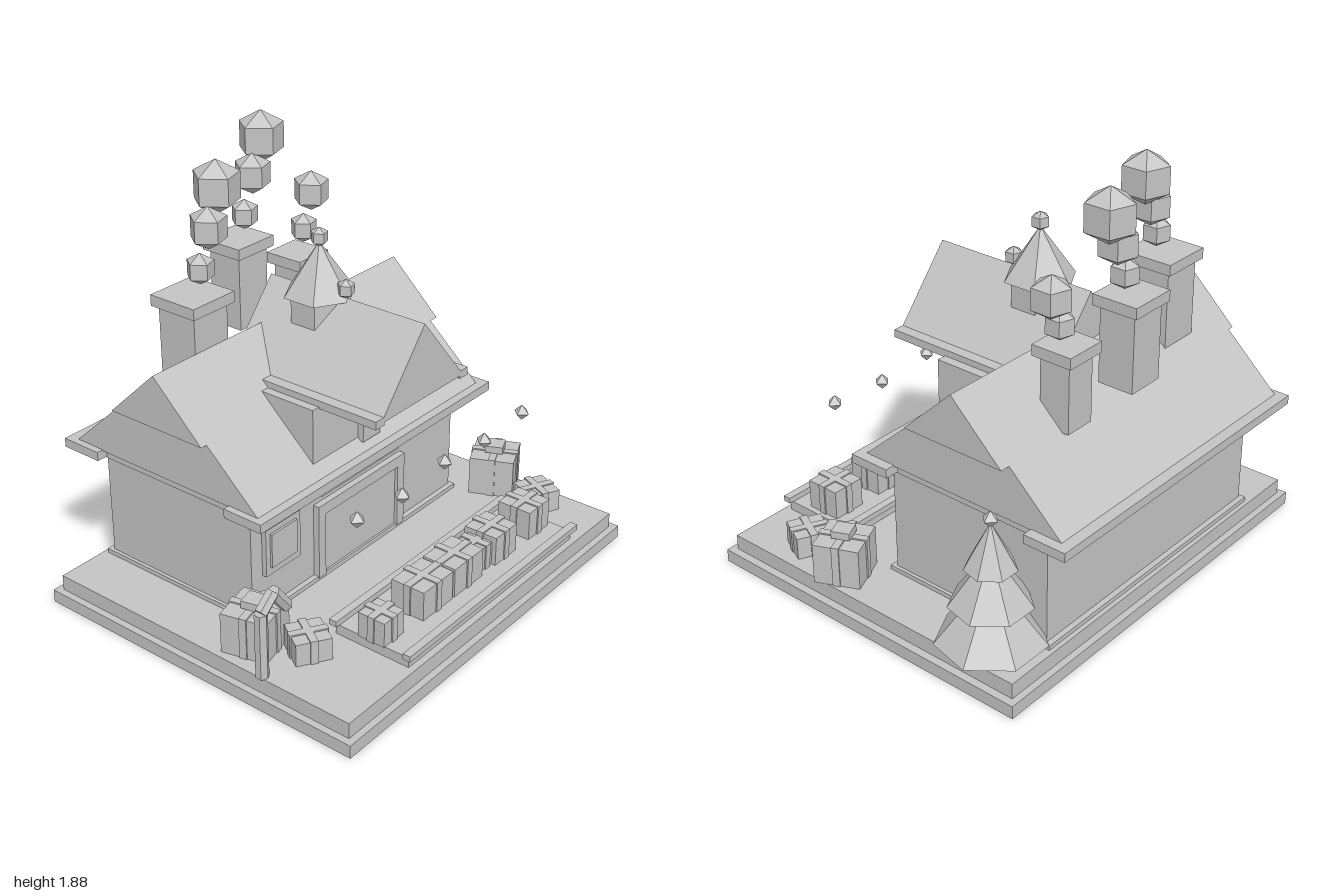
import * as THREE from 'three';

const grey = new THREE.MeshStandardMaterial({ color: 0xc4c4c4, flatShading: true });
grey.name = 'plain grey';
const CX = -0.035; // middle of the house

export function createModel() {
  const root = new THREE.Group();
  root.name = 'winterWorkshop';

  const add = (name, geometry, x = 0, y = 0, z = 0, parent = root) => {
    const mesh = new THREE.Mesh(geometry, grey);
    mesh.name = name;
    mesh.position.set(x, y, z);
    parent.add(mesh);
    return mesh;
  };
  // Box from its limits on each axis
  const box = (name, x0, x1, y0, y1, z0, z1, parent = root) =>
    add(name, new THREE.BoxGeometry(x1 - x0, y1 - y0, z1 - z0),
      (x0 + x1) / 2, (y0 + y1) / 2, (z0 + z1) / 2, parent);
  // Outline extruded along z
  const prism = (points, depth) => new THREE.ExtrudeGeometry(
    new THREE.Shape(points.map(([x, y]) => new THREE.Vector2(x, y))),
    { depth, bevelEnabled: false });
  // Straight round bar between two points
  const bar = (name, a, b, r) => {
    const d = b.clone().sub(a);
    const mesh = add(name, new THREE.CylinderGeometry(r, r, d.length(), 6));
    mesh.position.copy(a).add(b).multiplyScalar(0.5);
    mesh.quaternion.setFromUnitVectors(new THREE.Vector3(0, 1, 0), d.normalize());
  };

  // Stepped base
  box('baseSlab', -1, 0.935, 0, 0.058, -0.76, 0.84);
  box('snowGround', -0.97, 0.90, 0.058, 0.127, -0.73, 0.81);

  // House walls
  box('foundation', -0.725, 0.655, 0.125, 0.147, -0.71, 0.132);
  box('walls', -0.71, 0.64, 0.14, 0.64, -0.685, 0.108);

  // Main roof: lower slopes, and a wider cap along the ridge
  const lower = prism([[-0.21, 0.67], [0.795, 0.67], [0.54, 0.905], [0.05, 0.905]], 1.46);
  add('lowerRoof', lower.rotateY(Math.PI / 2), -0.77, 0, 0);
  const upper = prism([[0.05, 0.905], [0.54, 0.905], [0.295, 1.137]], 1.535);
  add('upperRoof', upper.rotateY(Math.PI / 2), -0.80, 0, 0);
  box('frontEave', -0.80, 0.735, 0.635, 0.675, 0.055, 0.245);
  box('backEave', -0.80, 0.735, 0.635, 0.675, -0.84, -0.645);
  box('ceiling', -0.75, 0.67, 0.63, 0.675, -0.66, 0.07);

  // Front dormer
  box('dormerWalls', -0.38, 0.315, 0.70, 0.962, -0.30, 0.155);
  box('dormerWindow', -0.093, 0.02, 0.705, 0.82, 0.14, 0.183);
  add('dormerRoof', prism([[-0.275, 0.968], [0.275, 0.968], [0, 1.295]], 0.79), CX, 0, -0.352);
  for (const s of [-1, 1]) {
    const x = CX + s * 0.28;
    box('dormerEave', x - 0.027, x + 0.027, 0.955, 0.99, -0.2, 0.438);
  }

  // Six-sided turret
  add('turretDrum', new THREE.CylinderGeometry(0.125, 0.125, 0.28, 6), CX, 1.14, -0.092);
  add('turretRoof', new THREE.ConeGeometry(0.155, 0.225, 6), CX, 1.3925, -0.092);
  const ball = (name, r, x, y, z) => add(name, new THREE.SphereGeometry(r, 5, 3), x, y, z);
  ball('turretFinial', 0.042, CX, 1.525, -0.092);
  ball('dormerFinial', 0.042, CX, 1.335, 0.045);

  // Chimneys: x and z limits of the cap, cap underside, shaft bottom, inset
  const chimneys = [
    [-0.58, -0.345, -0.51, -0.275, 1.295, 0.90, 0.022],
    [-0.09, 0.128, -0.687, -0.48, 1.335, 1.0, 0.022],
    [0.21, 0.40, -0.592, -0.405, 1.202, 0.905, 0.024],
  ];
  for (const [x0, x1, z0, z1, y, y0, i] of chimneys) {
    box('chimneyShaft', x0 + i, x1 - i, y0, y, z0 + i, z1 - i);
    box('chimneyCap', x0, x1, y, y + 0.048, z0, z1);
  }

  // Smoke puffs: radius, x, y, z
  const puffs = [
    [0.067, -0.42, 1.435, -0.385], [0.091, -0.345, 1.58, -0.405], [0.115, -0.265, 1.725, -0.43],
    [0.067, 0.06, 1.475, -0.58], [0.091, 0.138, 1.63, -0.60], [0.115, 0.22, 1.77, -0.62],
    [0.067, 0.35, 1.345, -0.50], [0.091, 0.427, 1.49, -0.52],
  ];
  for (const p of puffs) ball('smokePuff', ...p);

  // Front window, wide door and blank sign
  box('windowFrame', -0.645, -0.435, 0.31, 0.525, 0.10, 0.13);
  box('windowPane', -0.62, -0.465, 0.345, 0.50, 0.10, 0.14);
  box('door', -0.28, 0.21, 0.14, 0.435, 0.10, 0.122);
  box('doorLintel', -0.325, 0.257, 0.435, 0.485, 0.10, 0.137);
  box('doorPost', -0.325, -0.28, 0.14, 0.435, 0.10, 0.137);
  box('doorPost', 0.21, 0.257, 0.14, 0.435, 0.10, 0.137);
  box('sign', -0.295, 0.223, 0.52, 0.60, 0.10, 0.13);
  box('signBar', -0.205, 0.135, 0.55, 0.575, 0.10, 0.14);

  // Low platform with edge rails
  box('platform', -0.565, 0.61, 0.125, 0.172, 0.42, 0.78);
  for (const z of [0.42, 0.783])
    box('platformRail', -0.585, 0.63, 0.172, 0.198, z - 0.018, z + 0.018);

  // Wrapped presents with crossed ribbons
  const present = (x, z, w, d, y0, y1, turn = 0, bow = 0) => {
    const g = new THREE.Group();
    g.name = 'present';
    g.position.set(x, 0, z);
    g.rotation.y = turn;
    root.add(g);
    const t = 0.006, r = 0.016;
    box('presentBox', -w / 2, w / 2, y0, y1 - t, -d / 2, d / 2, g);
    box('ribbon', -r, r, y0, y1, -d / 2 - t, d / 2 + t, g);
    box('ribbon', -w / 2 - t, w / 2 + t, y0, y1, -r, r, g);
    if (bow) box('bow', -0.04, 0.04, y1, y1 + bow, -0.04, 0.04, g);
  };
  present(-0.508, 0.60, 0.125, 0.13, 0.17, 0.287);
  present(-0.235, 0.60, 0.20, 0.16, 0.17, 0.31);
  present(-0.022, 0.60, 0.20, 0.16, 0.17, 0.31);
  present(0.14, 0.60, 0.07, 0.12, 0.17, 0.287);
  present(0.252, 0.60, 0.155, 0.16, 0.17, 0.31);
  present(0.507, 0.60, 0.155, 0.16, 0.17, 0.31);
  present(-0.82, 0.22, 0.20, 0.20, 0.125, 0.312, 0.25, 0.033);
  present(-0.73, 0.415, 0.15, 0.15, 0.125, 0.232, -0.55);
  present(0.79, 0.26, 0.20, 0.20, 0.125, 0.312, 0.42, 0.033);
  present(0.755, 0.51, 0.15, 0.15, 0.125, 0.232, -0.45);

  // Candy cane
  const cane = [[-0.955, 0.125], [-0.955, 0.415], [-0.885, 0.475], [-0.81, 0.375]]
    .map(([x, y]) => new THREE.Vector3(x, y, 0.375));
  for (let i = 0; i < 3; i++) bar('candyCane', cane[i], cane[i + 1], 0.028);

  // Tree: trunk, three tiers (radius, bottom, tip) and a topper
  const TX = 0.78, TZ = -0.525;
  add('treeTrunk', new THREE.CylinderGeometry(0.038, 0.038, 0.08, 6), TX, 0.16, TZ);
  for (const [r, y0, y1] of [[0.228, 0.175, 0.46], [0.172, 0.34, 0.58], [0.107, 0.5, 0.70]])
    add('treeTier', new THREE.ConeGeometry(r, y1 - y0, 7), TX, (y0 + y1) / 2, TZ);

  // Lantern lights: forward row and row under the eave
  const light = (name, x, y, z) => add(name, new THREE.OctahedronGeometry(0.036), x, y, z);
  light('treeTopper', TX, 0.715, TZ);
  [0.722, 0.695, 0.72, 0.695, 0.71].forEach((y, i) =>
    light('frontLight', -0.598 + i * 0.2815, y, 0.55));
  [0.625, 0.6, 0.615, 0.6, 0.612, 0.61].forEach((y, i) =>
    light('eaveLight', -0.71 + i * 0.27, y, 0.138));

  return root;
}
